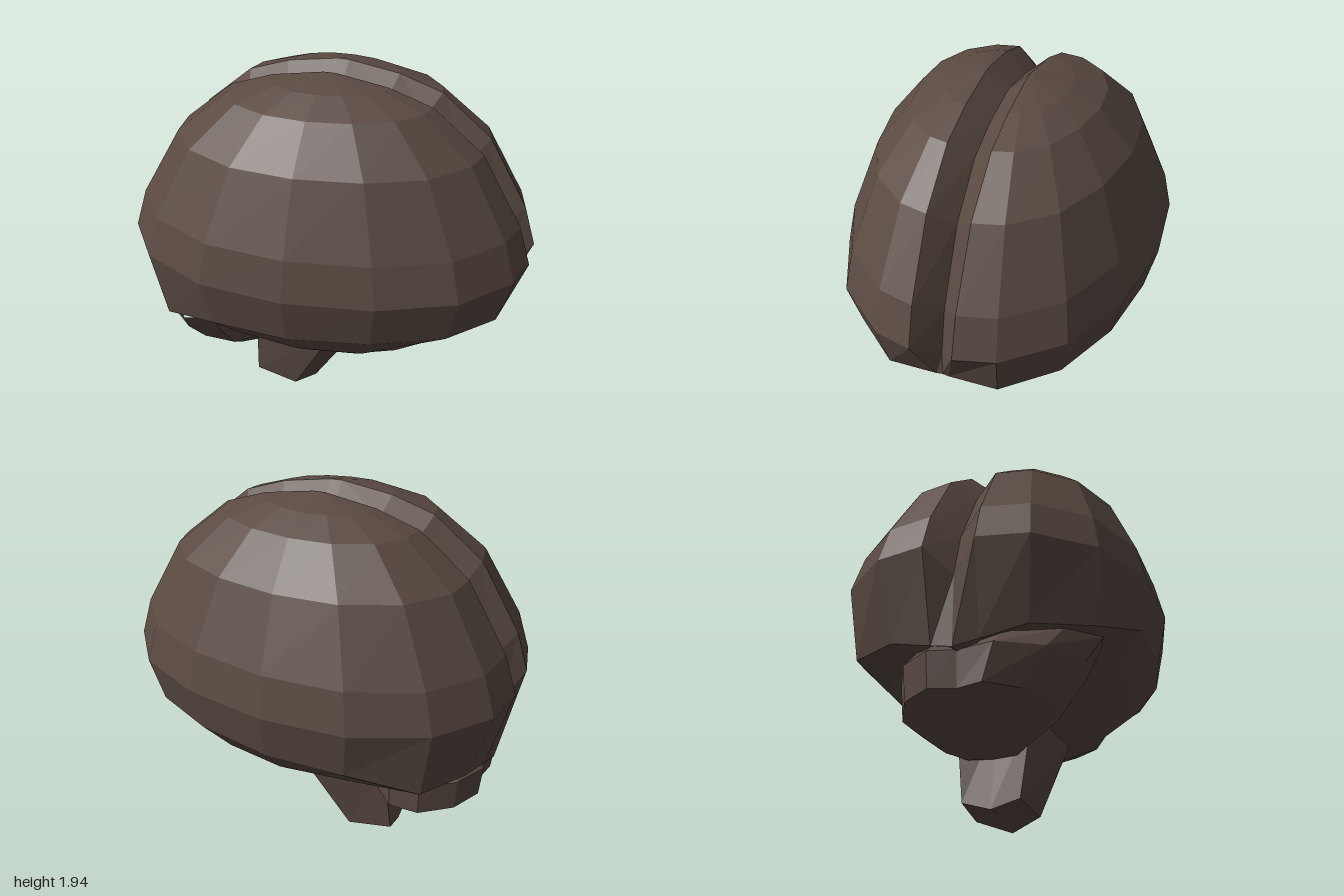
import * as THREE from 'three';

// Skin a stack of closed rings (bottom to top, each running front -> +x -> back -> -x) with flat facets.
function loft(name, rings, material) {
  const n = rings[0].length;
  const index = [];
  for (let r = 0; r < rings.length - 1; r++) {
    for (let i = 0; i < n; i++) {
      const a = r * n + i, b = r * n + (i + 1) % n;
      index.push(a, b, b + n, a, b + n, a + n);
    }
  }
  const indexed = new THREE.BufferGeometry();
  indexed.setAttribute('position', new THREE.Float32BufferAttribute(rings.flat(2), 3));
  indexed.setIndex(index);
  const geometry = indexed.toNonIndexed();
  geometry.computeVertexNormals();
  const mesh = new THREE.Mesh(geometry, material);
  mesh.name = name;
  return mesh;
}

// Complete a half ring whose first and last points lie on the midline.
function mirrorRing(half) {
  const other = half.slice(1, -1).reverse().map(([x, y, z]) => [-x, y, z]);
  return [...half, ...other];
}

const pointRing = (x, y, z, n) => Array.from({ length: n }, () => [x, y, z]);

// Half outline of the cerebrum at its widest level, from front to back: [x, z]
const OUTLINE = [
  [0.1, 1.02], [0.285, 0.973], [0.541, 0.762], [0.708, 0.415], [0.79, 0],
  [0.77, -0.417], [0.62, -0.765], [0.365, -0.975], [0.125, -1.02],
];

// Domed upper half: the ridges stay beside a V-shaped groove on the midline
function upperRing(y, s) {
  const depth = y < 1.1 ? 0.12 : 0.09;
  const side = OUTLINE.map(([x, z]) => [0.1 + (x - 0.1) * s, y, z * s]);
  return mirrorRing([[0, y - depth, 0.905 * s], ...side, [0, y - depth, -0.94 * s]]);
}

// Rim below the widest level: closes the groove, hangs lower towards the back
function rimRing() {
  const heights = [0.85, 0.85, 0.86, 0.86, 0.85, 0.84, 0.73, 0.71, 0.65];
  const side = OUTLINE.map(([x, z], i) => {
    if (i === 0) return [0.03, heights[i], 0.91];
    const s = i < 7 ? 0.935 : 0.89;
    return [x * s, heights[i], z * s];
  });
  return mirrorRing([[0, 0.85, 0.905], ...side, [0, 0.62, -0.93]]);
}

// Underside: the belly rises towards the back
function bellyRing(y, s) {
  const side = OUTLINE.map(([x, z], i) => {
    // Hollow between the frontal and temporal lobes
    if (i === 2 && y > 0.65) return [x * s * 0.82, 0.76, z * s * 0.82];
    const rise = z < 0 ? -z * s * 0.1 : 0;
    return [x * s, Math.min(0.7, y + rise), z * s];
  });
  const back = side[side.length - 1][1];
  return mirrorRing([[0, y, 1.02 * s], ...side, [0, Math.min(back, 0.62), -0.99 * s]]);
}

export function createModel() {
  const tissue = new THREE.MeshStandardMaterial({ color: 0x5a4a42 });
  tissue.name = 'dark brown tissue';

  const model = new THREE.Group();
  model.name = 'brain';
  const body = new THREE.Group();
  body.name = 'turnedBrain';
  body.rotation.y = THREE.MathUtils.degToRad(32);
  body.position.set(0.034, 0, 0.02);
  model.add(body);

  // Cerebrum with its two hemispheres
  const belly = [[0.41, 0], [0.45, 0.3], [0.56, 0.56], [0.69, 0.76]];
  const dome = [[1.09, 1], [1.29, 0.935], [1.63, 0.735], [1.83, 0.49], [1.9, 0.28], [1.94, 0.03], [1.94, 0]];
  body.add(loft('cerebrum', [
    ...belly.map(([y, s]) => bellyRing(y, s)),
    rimRing(),
    ...dome.map(([y, s]) => upperRing(y, s)),
  ], tissue));

  // Cerebellum below the back: one side flares up to the rim, the other stands free
  const lobes = [[0, -0.34], [0.2, -0.36], [0.34, -0.48], [0.37, -0.65], [0.28, -0.82], [0.13, -0.91], [0, -0.88]];
  const cerebellumRing = (y, s, slope, flare) => mirrorRing(
    lobes.map(([x, z]) => [x * s, y - (z + 0.5) * slope, -0.5 + (z + 0.5) * s]),
  ).map(([x, py, z]) => [x < 0 ? x * flare : x, py, z]);
  body.add(loft('cerebellum', [
    pointRing(0, 0.29, -0.5, 12),
    cerebellumRing(0.31, 0.6, 0.18, 1),
    cerebellumRing(0.4, 0.96, 0.14, 1),
    cerebellumRing(0.58, 1, 0.12, 1.38),
    cerebellumRing(0.72, 0.8, 0, 2),
  ], tissue));

  // Brain stem: tapers and leans backwards on its way down
  body.add(loft('brainStem', [
    pointRing(0, 0.05, -0.3, 6),
    mirrorRing([[0, 0, -0.12], [0.16, 0.05, -0.19], [0.14, 0.08, -0.43], [0, 0.04, -0.43]]),
    mirrorRing([[0, 0.5, 0.2], [0.26, 0.5, 0.05], [0.19, 0.5, -0.4], [0, 0.5, -0.36]]),
  ], tissue));

  return model;
}
